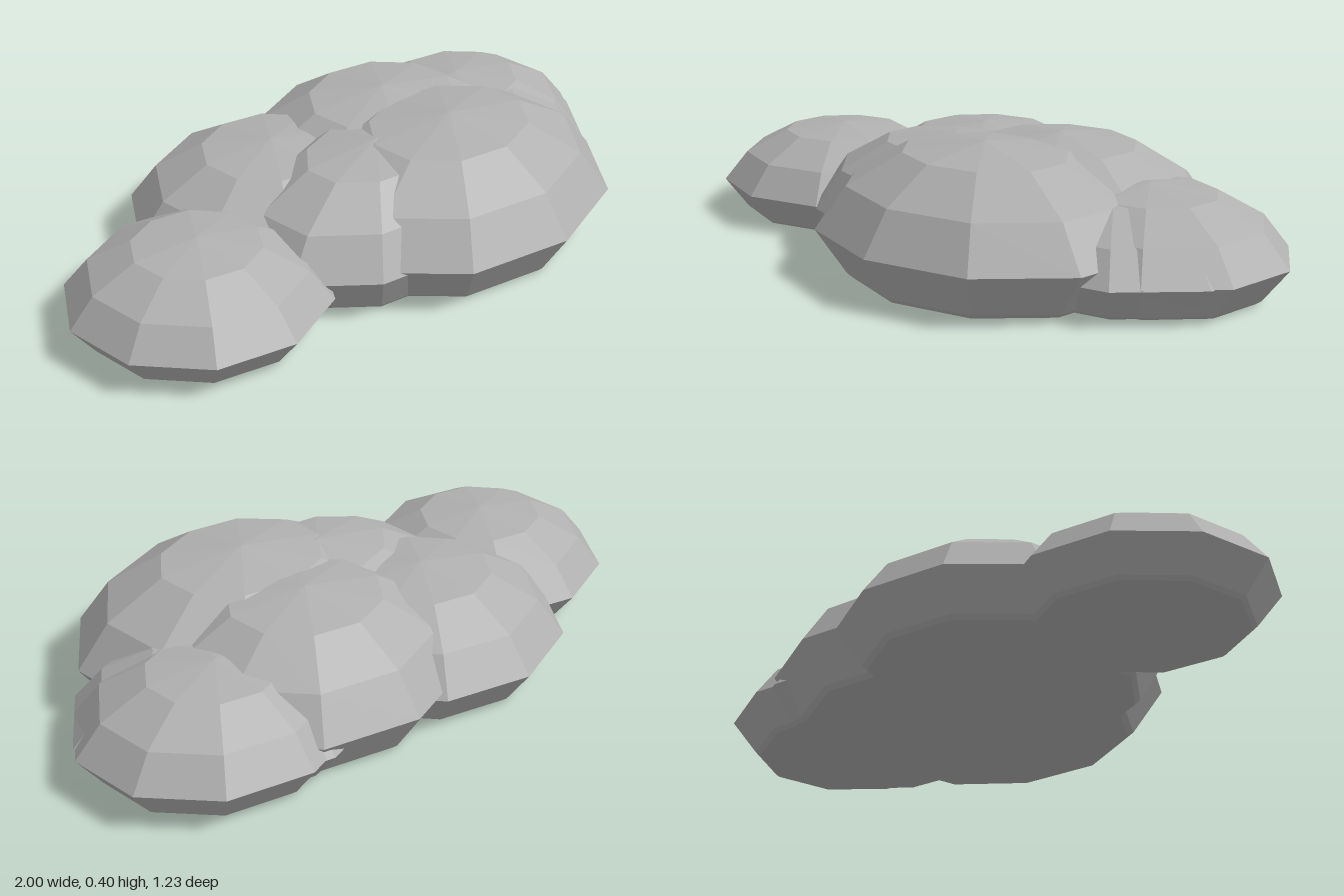
import * as THREE from 'three';

// Half profile of one puff, bottom to top: [radius factor, height factor]
const PROFILE = [[0, 0], [0.78, 0], [0.815, 0.035], [1, 0.36], [0.815, 0.675], [0.485, 0.918], [0, 1]];

// Faceted ten-sided dome with a flat base
function puffGeometry() {
  const points = PROFILE.map(([r, y]) => new THREE.Vector2(r, y));
  return new THREE.LatheGeometry(points, 10);
}

// name, centre x, centre z, x radius, z radius, height
const PUFFS = [
  ['frontPuff', 0.22, 0.16, 0.54, 0.45, 0.4],
  ['backPuff', 0.24, -0.12, 0.49, 0.44, 0.385],
  ['middlePuff', 0, 0.07, 0.5, 0.36, 0.37],
  ['backRightPuff', -0.16, -0.2, 0.44, 0.42, 0.335],
  ['rightPuff', -0.63, -0.03, 0.39, 0.38, 0.28],
  ['leftPuff', 0.59, -0.12, 0.43, 0.38, 0.3],
  ['leftInnerPuff', 0.5, -0.08, 0.49, 0.41, 0.295],
];

export function createModel() {
  const cloud = new THREE.Group();
  cloud.name = 'cloud';
  const grey = new THREE.MeshStandardMaterial({ color: 0xb0b0b0 });
  grey.name = 'cloudGrey';

  // Overlapping puffs sharing one flat underside
  for (const [name, x, z, rx, rz, height] of PUFFS) {
    const geometry = puffGeometry().scale(rx, height, rz).toNonIndexed();
    geometry.computeVertexNormals();
    const puff = new THREE.Mesh(geometry, grey);
    puff.name = name;
    puff.position.set(x, 0, z);
    cloud.add(puff);
  }
  return cloud;
}
